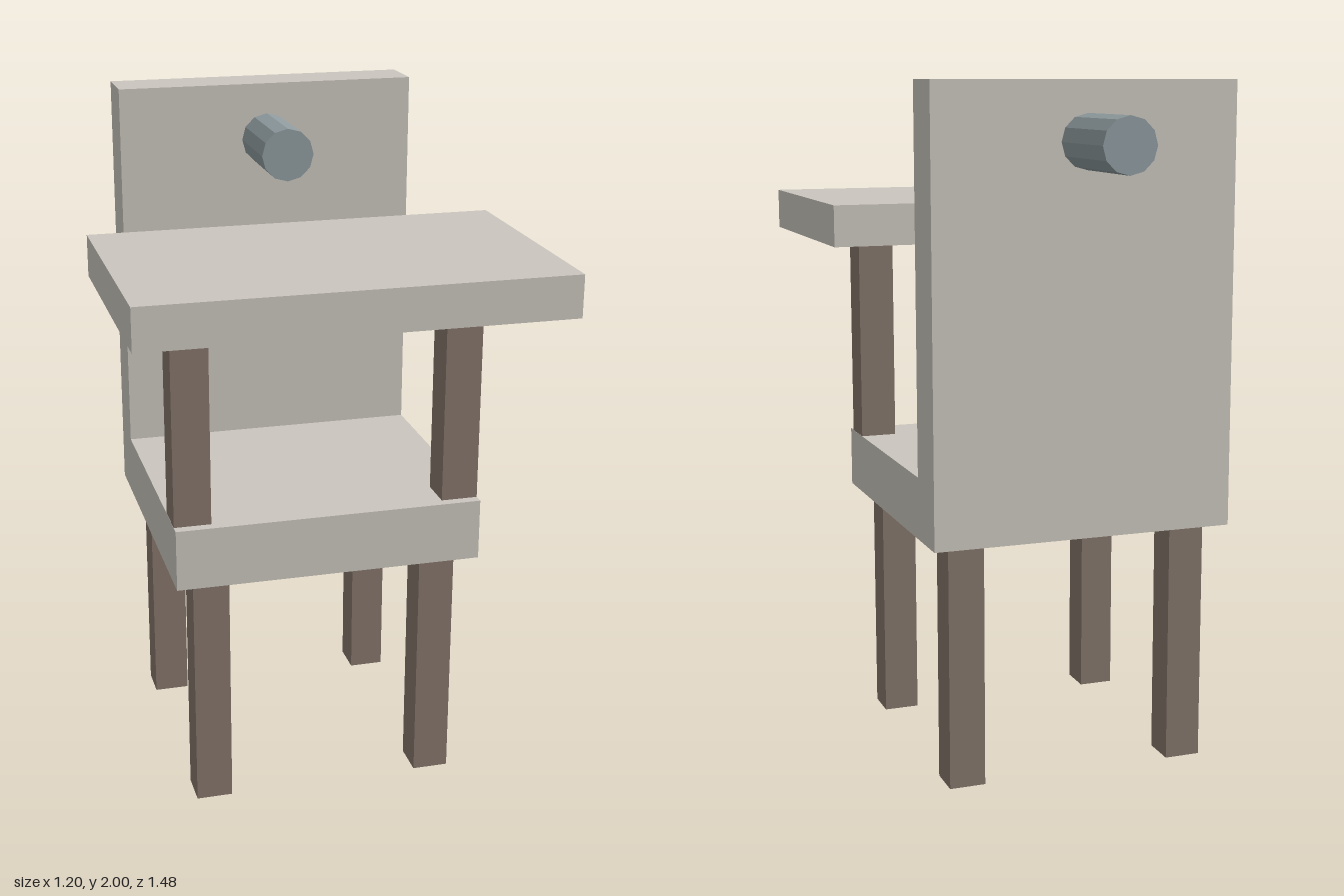
import * as THREE from 'three';

export function createModel() {
  const group = new THREE.Group();
  const paleStone = new THREE.MeshStandardMaterial({ color: 0xcac6be, name: 'paleStone' });
  const brownWood = new THREE.MeshStandardMaterial({ color: 0x84756a, name: 'brownWood' });
  const greySteel = new THREE.MeshStandardMaterial({ color: 0x8f9b9f, name: 'greySteel' });
  greySteel.flatShading = true;

  const add = (name, geometry, material, x, y, z) => {
    const mesh = new THREE.Mesh(geometry, material);
    mesh.name = name;
    mesh.position.set(x, y, z);
    group.add(mesh);
    return mesh;
  };

  // Seat and backrest: one L-shaped side profile, extruded across the width
  const profile = new THREE.Shape([
    [-0.447, 0.72], [0.45, 0.72], [0.45, 2], [0.298, 2], [0.298, 0.9], [-0.447, 0.9],
  ].map(([x, y]) => new THREE.Vector2(x, y)));
  const chair = new THREE.ExtrudeGeometry(profile, { depth: 0.896, bevelEnabled: false });
  chair.translate(0, 0, -0.448).rotateY(Math.PI / 2);
  add('seatAndBackrest', chair, paleStone, 0, 0, 0);

  // Tray held in front of the backrest
  add('tray', new THREE.BoxGeometry(1.2, 0.12, 0.74), paleStone, 0, 1.585, 0.37);

  // Four legs and two tray posts, mirrored left and right
  const leg = new THREE.BoxGeometry(0.106, 0.72, 0.106);
  const post = new THREE.BoxGeometry(0.107, 0.626, 0.107);
  for (const [side, s] of [['left', 1], ['right', -1]]) {
    add(side + 'FrontLeg', leg, brownWood, s * 0.339, 0.36, 0.339);
    add(side + 'BackLeg', leg, brownWood, s * 0.339, 0.36, -0.343);
    add(side + 'TrayPost', post, brownWood, s * 0.394, 1.212, 0.364);
  }

  // Rod passing through the top of the backrest
  const rod = new THREE.CylinderGeometry(0.077, 0.077, 0.697, 12);
  rod.rotateX(Math.PI / 2);
  add('rod', rod, greySteel, 0, 1.833, -0.3915);

  return group;
}
